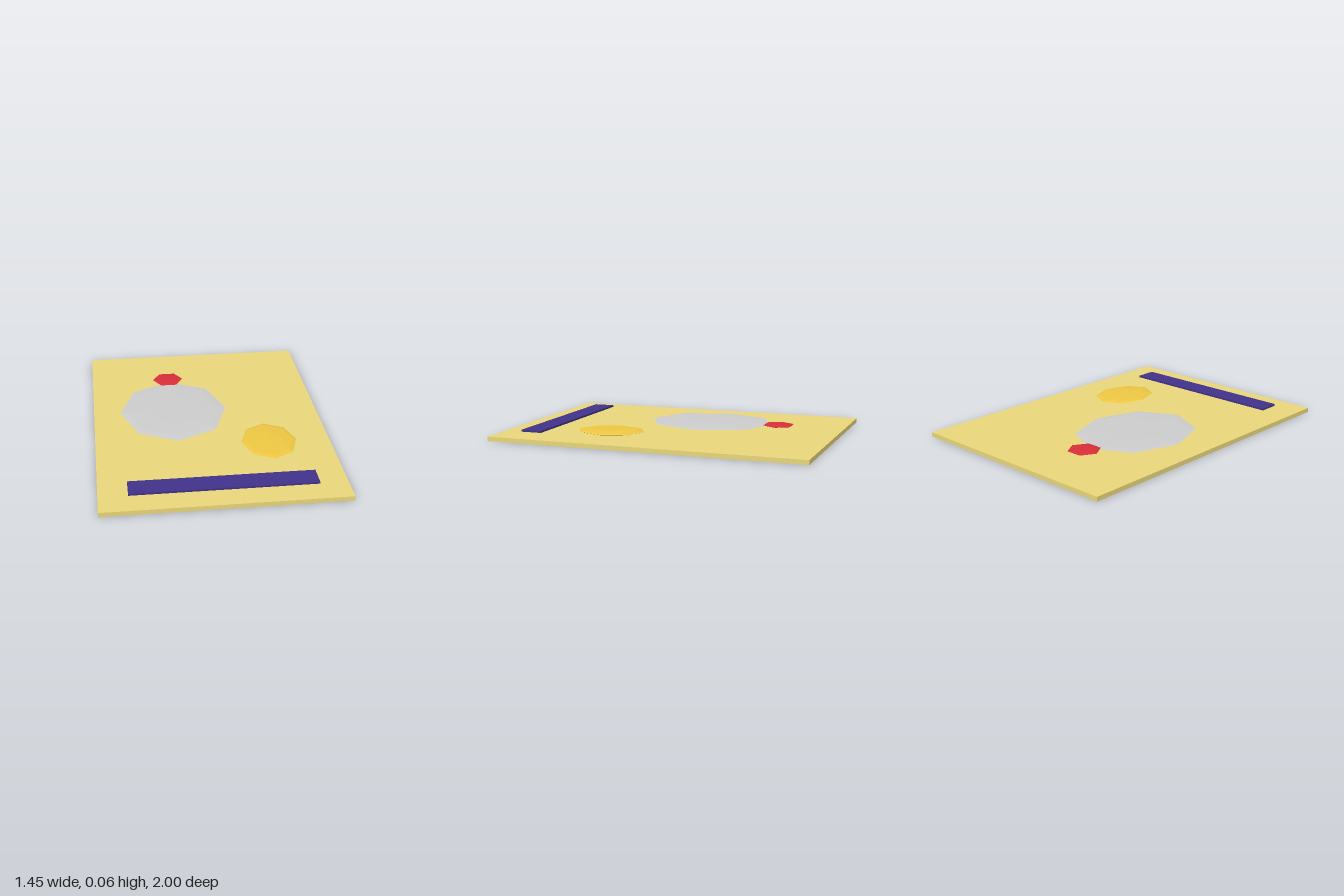
import * as THREE from 'three';

export function createModel() {
  const model = new THREE.Group();

  function add(name, geometry, color, position, scale = [1, 1, 1]) {
    const material = new THREE.MeshStandardMaterial({ color, flatShading: true });
    const mesh = new THREE.Mesh(geometry, material);
    mesh.name = name;
    mesh.position.set(...position);
    mesh.scale.set(...scale);
    model.add(mesh);
  }

  // Flat card lying on the ground
  add('board', new THREE.BoxGeometry(1.446, 0.028, 2), 0xe8d67a, [0, 0.014, 0]);

  // Raised strip near the front edge
  add('strip', new THREE.BoxGeometry(1.1, 0.012, 0.135), 0x403188, [0, 0.044, 0.793]);

  // Flattened low-poly blobs
  add('largeOval', new THREE.SphereGeometry(1, 8, 6), 0xcccccc, [-0.208, 0.039, -0.137], [0.344, 0.01, 0.409]);
  add('smallOval', new THREE.SphereGeometry(1, 8, 6), 0xecc642, [0.342, 0.043, 0.341], [0.171, 0.013, 0.22]);
  add('redDot', new THREE.SphereGeometry(1, 6, 6), 0xd72e38, [-0.208, 0.043, -0.588], [0.102, 0.01, 0.102]);

  return model;
}
